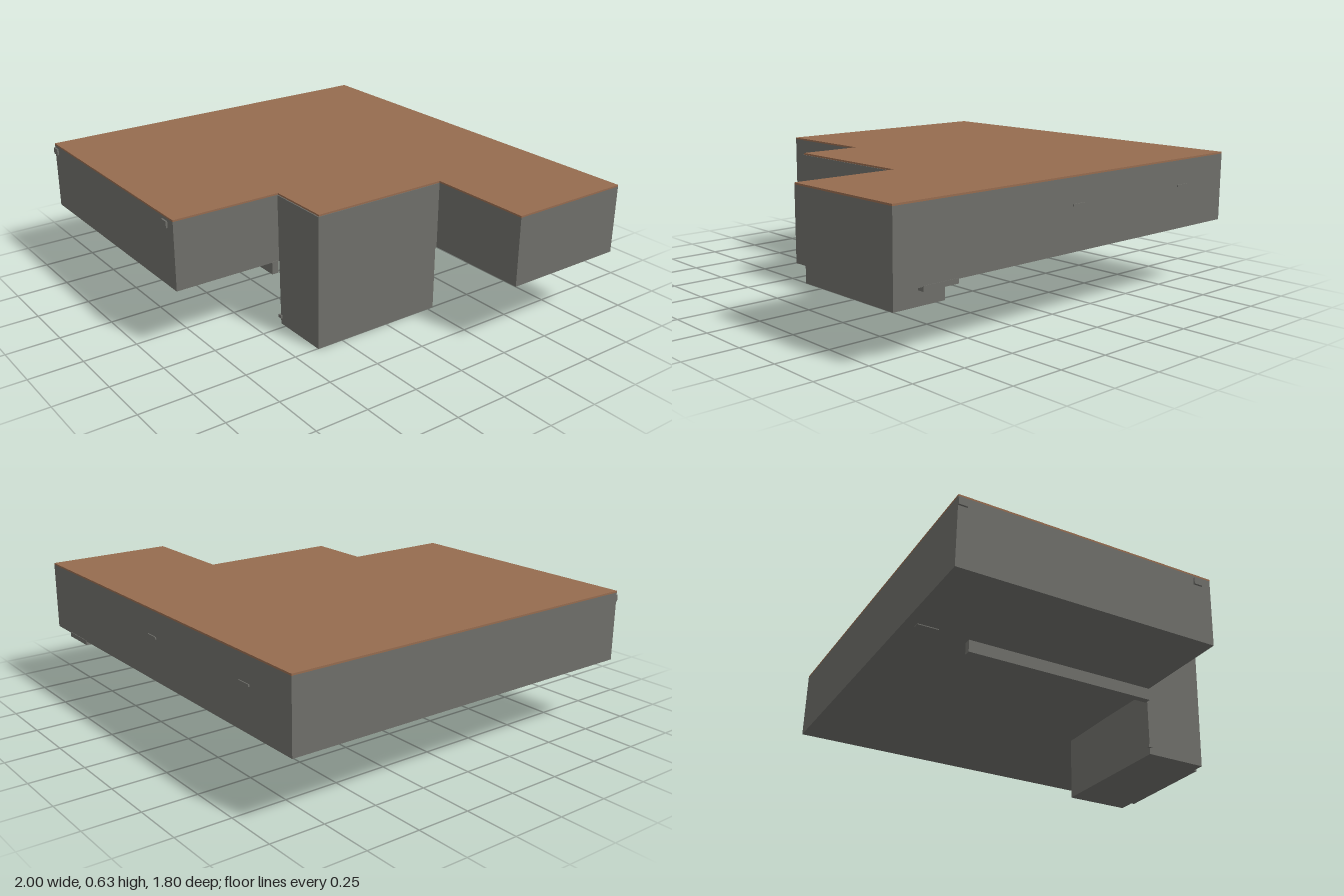
import * as THREE from 'three';

export function createModel() {
  const group = new THREE.Group();
  const grey = new THREE.MeshStandardMaterial({ name: 'grey wall', color: 0x6e6e69 });
  const brown = new THREE.MeshStandardMaterial({ name: 'brown roof', color: 0x956b4f });

  const add = (name, geometry, material) => {
    const mesh = new THREE.Mesh(geometry, material);
    mesh.name = name;
    group.add(mesh);
    return mesh;
  };

  // Box given by its lower and upper corners
  const box = (name, [x0, y0, z0], [x1, y1, z1], material = grey) => {
    const g = new THREE.BoxGeometry(x1 - x0, y1 - y0, z1 - z0);
    g.translate((x0 + x1) / 2, (y0 + y1) / 2, (z0 + z1) / 2);
    return add(name, g, material);
  };

  // Stepped floor plan as [x, z], raised between two heights
  const plan = [[-1, -0.895], [1, -0.895], [1, -0.29], [0.5, -0.29],
    [0.5, 0.375], [0.197, 0.375], [0.197, 0.89], [-1, 0.89]];
  const slab = (name, y0, y1, material) => {
    const shape = new THREE.Shape(plan.map(([x, z]) => new THREE.Vector2(x, -z)));
    const g = new THREE.ExtrudeGeometry(shape, { depth: y1 - y0, bevelEnabled: false });
    g.rotateX(-Math.PI / 2).translate(0, y0, 0);
    return add(name, g, material);
  };

  slab('upperStorey', 0.306, 0.622, grey);
  slab('roof', 0.622, 0.63, brown);

  // Entrance block whose front left edge leans inward towards the ground
  const block = box('lowerBlock', [0.2, 0, -0.28], [0.503, 0.622, 0.38]);
  const p = block.geometry.attributes.position;
  for (let i = 0; i < p.count; i++) {
    if (p.getY(i) < 0.01 && p.getX(i) < 0.3 && p.getZ(i) > 0) p.setX(i, 0.215);
  }
  block.geometry.computeVertexNormals();
  box('blockLedge', [0.205, 0.03, 0.375], [0.225, 0.045, 0.387]);

  // Beam under the front wing
  box('beam', [-0.71, 0.25, 0.38], [0.2, 0.31, 0.413]);

  // Small fittings under the floor
  box('rearFitting', [0.685, 0.288, -0.897], [0.86, 0.31, -0.867]);
  box('rearFittingPlate', [0.68, 0.302, -0.84], [0.91, 0.307, -0.75]);
  box('frontFittingPlate', [-0.95, 0.302, 0.4], [-0.855, 0.307, 0.43]);

  // Small brackets below the roof edge
  for (const x of [-1, 0.11]) box('frontBracket', [x, 0.58, 0.885], [x + 0.04, 0.61, 0.898]);
  for (const x of [-0.73, -0.02]) box('backBracket', [x, 0.5, -0.9], [x + 0.07, 0.51, -0.89]);

  return group;
}
